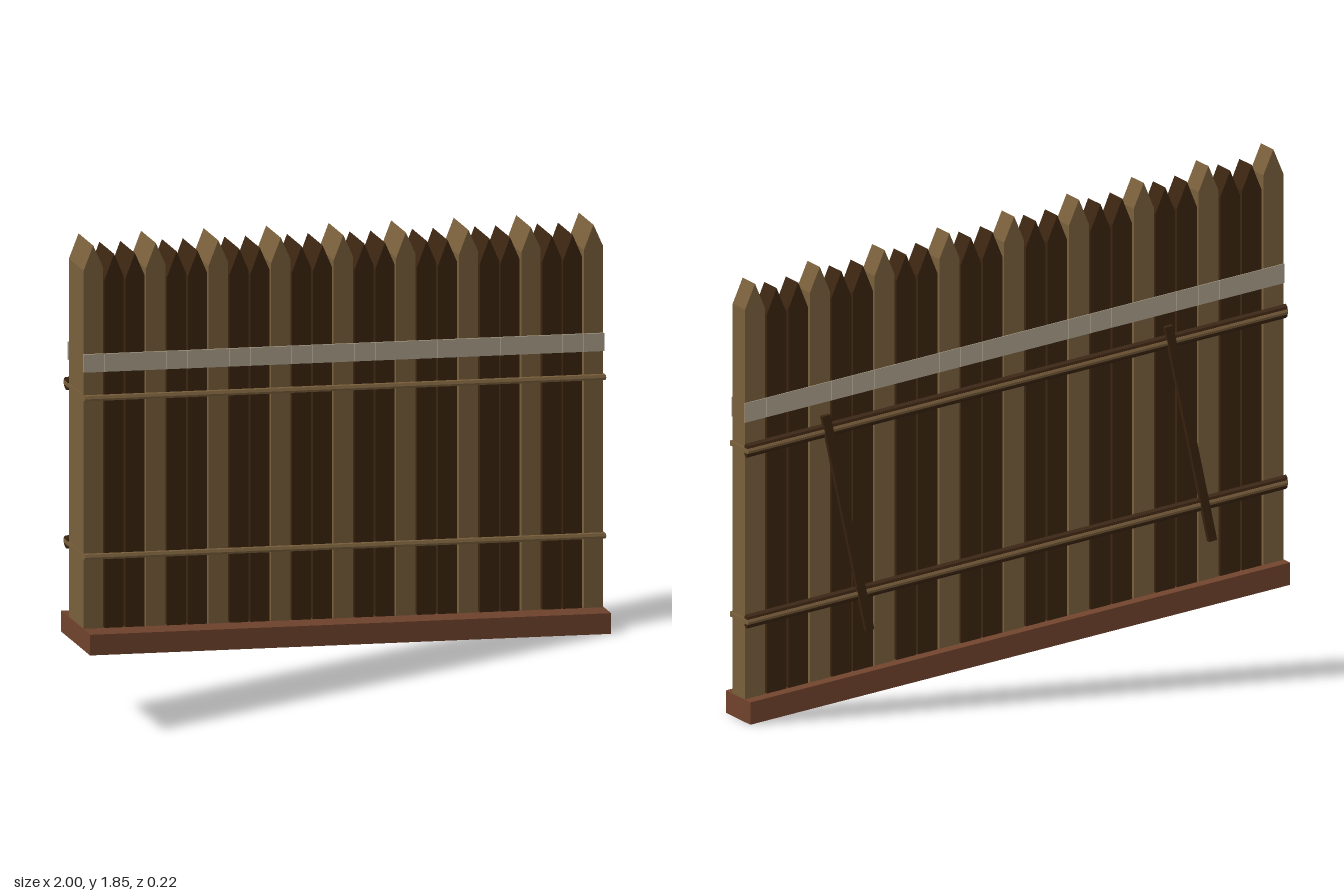
import * as THREE from 'three';

const SLOPE = -1 / 6;   // fall of the ground along x
const MID = 1 / 6;      // ground height at x = 0

function material(name, color) {
  const m = new THREE.MeshStandardMaterial({ color });
  m.name = name;
  return m;
}

// Slants a geometry along the ground, keeping vertical faces vertical
function slant(geometry) {
  const g = geometry.index ? geometry.toNonIndexed() : geometry;
  const p = g.attributes.position;
  for (let i = 0; i < p.count; i++) p.setY(i, p.getY(i) + SLOPE * p.getX(i));
  g.computeVertexNormals();
  return g;
}

// Upright board with a pointed top, standing on y = 0
function picketGeometry(width, height, point, depth) {
  const w = width / 2;
  const s = new THREE.Shape();
  s.moveTo(-w, 0);
  s.lineTo(w, 0);
  s.lineTo(w, height - point);
  s.lineTo(0, height);
  s.lineTo(-w, height - point);
  s.closePath();
  const g = new THREE.ExtrudeGeometry(s, { depth, bevelEnabled: false });
  g.translate(0, 0, -depth / 2);
  return g;
}

export function createModel() {
  const group = new THREE.Group();
  const lightWood = material('lightWood', 0x795f3c);
  const darkWood = material('darkWood', 0x3b2410);
  const redWood = material('redWood', 0x70432c);
  const palePaint = material('palePaint', 0xaca18c);

  function add(name, geometry, mat, parent = group) {
    const mesh = new THREE.Mesh(geometry, mat);
    mesh.name = name;
    parent.add(mesh);
    return mesh;
  }
  // Slanted bar along x
  function bar(name, size, y, z, mat, x = 0) {
    const g = new THREE.BoxGeometry(...size);
    g.translate(x, y, z);
    return add(name, slant(g), mat);
  }
  // Slanted round pole along x
  function pole(name, radius, flat, y, z, mat, length = 2, sides = 8) {
    const g = new THREE.CylinderGeometry(radius, radius, length, sides);
    g.rotateZ(Math.PI / 2);
    g.scale(1, 1, flat);
    g.translate(0, y, z);
    return add(name, slant(g), mat);
  }

  // Ground beam
  bar('groundBeam', [2, 0.078, 0.222], MID + 0.039, 0, redWood);

  // Pickets: every third is light and taller
  const tall = picketGeometry(0.074, 1.493, 0.088, 0.112);
  const short = picketGeometry(0.073, 1.458, 0.09, 0.112);
  for (let i = 0; i < 25; i++) {
    const x = -0.96 + 0.08 * i;
    const light = i % 3 === 0;
    const picket = add(light ? 'lightPicket' : 'darkPicket', light ? tall : short, light ? lightWood : darkWood);
    picket.position.set(x, MID + SLOPE * x + 0.03, 0);
    // Painted band on front and back
    for (const side of [1, -1]) bar('paintedBand', [0.079, 0.068, 0.005], 1.247, side * 0.058, palePaint, x);
  }

  // Back rails, and the rope that runs round the whole fence at each rail
  for (const y of [1.118, 0.52]) {
    pole('backRail', 0.025, 0.7, y, -0.072, darkWood);
    pole('frontRope', 0.011, 0.9, y, 0.065, lightWood, 2, 6);
    pole('backRope', 0.01, 0.7, y, -0.086, lightWood, 2, 6);
    for (const side of [1, -1]) bar('endRope', [0.006, 0.016, 0.156], y, -0.012, lightWood, side * 0.998);
  }

  // Leaning braces on the back
  for (const [x, y] of [[-0.638, 0.888], [0.632, 0.675]]) {
    const brace = add('brace', new THREE.BoxGeometry(0.03, 0.78, 0.022), darkWood);
    brace.position.set(x, y, -0.089);
    brace.rotation.z = -0.21;
  }

  return group;
}
